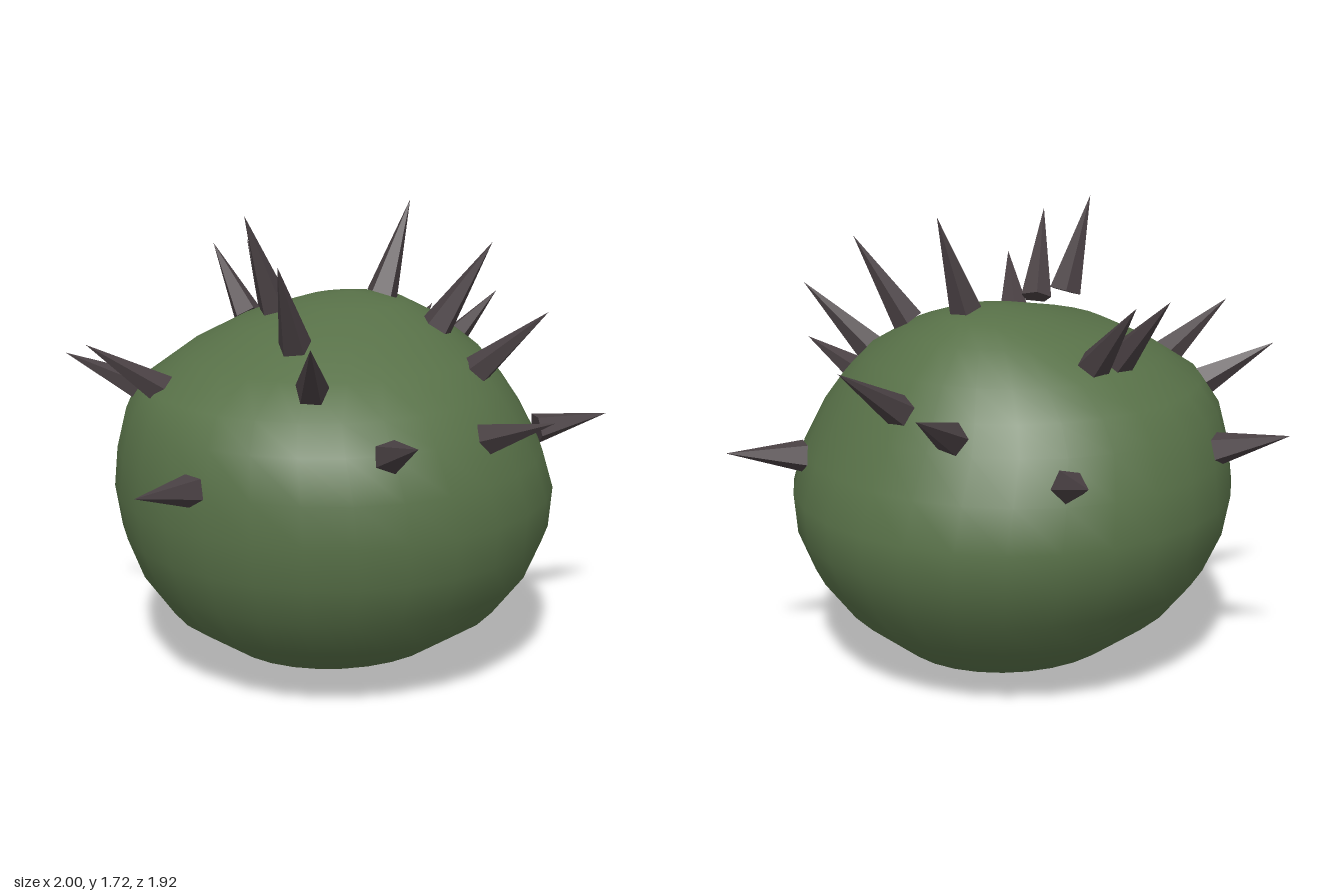
import * as THREE from 'three';
import { mergeVertices } from 'three/addons/utils/BufferGeometryUtils.js';

const green = new THREE.MeshStandardMaterial({ color: 0x587148 });
green.name = 'mossGreen';
const dark = new THREE.MeshStandardMaterial({ color: 0x4a4144, flatShading: true });
dark.name = 'spikeGrey';

// Body rings: height, then extents to -x, +x, -z, +z
const RINGS = [
  [0.005, 0, 0, 0, 0],
  [0.03, -0.2, 0.21, -0.2, 0.18],
  [0.1, -0.4, 0.44, -0.4, 0.37],
  [0.25, -0.62, 0.63, -0.6, 0.6],
  [0.4, -0.725, 0.745, -0.725, 0.715],
  [0.55, -0.78, 0.805, -0.8, 0.78],
  [0.7, -0.8, 0.82, -0.83, 0.795],
  [0.85, -0.79, 0.765, -0.8, 0.78],
  [1.0, -0.755, 0.685, -0.745, 0.72],
  [1.1, -0.69, 0.625, -0.67, 0.635],
  [1.2, -0.53, 0.55, -0.57, 0.51],
  [1.3, -0.32, 0.43, -0.41, 0.31],
  [1.36, -0.07, 0.32, -0.26, 0.12],
  [1.39, 0.12, 0.12, -0.08, -0.08],
];

// Lopsided ball: each ring is an ellipse with its own centre
function bodyGeometry(sides = 28) {
  const pos = [], index = [];
  RINGS.forEach(([y, x0, x1, z0, z1], k) => {
    for (let i = 0; i < sides; i++) {
      const a = (i / sides) * Math.PI * 2;
      pos.push((x0 + x1) / 2 + Math.cos(a) * (x1 - x0) / 2, y,
        (z0 + z1) / 2 + Math.sin(a) * (z1 - z0) / 2);
      if (k === RINGS.length - 1) continue;
      const p = k * sides + i, q = k * sides + (i + 1) % sides;
      if (k < RINGS.length - 2) index.push(p, p + sides, q + sides);
      else index.push(p, p + sides, q);
      if (k > 0 && k < RINGS.length - 2) index.push(p, q + sides, q);
    }
  });
  let geo = new THREE.BufferGeometry();
  geo.setAttribute('position', new THREE.Float32BufferAttribute(pos, 3));
  geo.setIndex(index);
  geo = mergeVertices(geo);
  geo.computeVertexNormals();
  return geo;
}

// Spikes in pairs: base then tip, right side and left side
const SPIKES = [
  [[-0.74, 0.86, 0.29], [-1.0, 0.9, 0.39], [0.73, 0.86, 0.27], [1.0, 0.9, 0.35]],
  [[-0.63, 1.1, -0.13], [-0.9, 1.29, -0.18], [0.6, 1.1, -0.16], [0.88, 1.29, -0.21]],
  [[-0.59, 1.05, -0.37], [-0.84, 1.19, -0.5], [0.55, 1.05, -0.39], [0.8, 1.19, -0.54]],
  [[-0.37, 0.92, -0.71], [-0.49, 1.0, -0.94], [0.31, 0.92, -0.71], [0.43, 1.0, -0.96]],
  [[-0.08, 1.24, -0.5], [-0.1, 1.49, -0.74], [0.03, 1.24, -0.5], [0.05, 1.49, -0.74]],
  [[-0.24, 1.38, -0.01], [-0.365, 1.72, 0], [0.22, 1.38, -0.02], [0.34, 1.72, -0.02]],
  [[-0.31, 1.3, 0.25], [-0.45, 1.61, 0.38], [0.29, 1.3, 0.24], [0.44, 1.61, 0.36]],
  [[-0.36, 1.19, 0.45], [-0.49, 1.39, 0.66], [0.33, 1.16, 0.42], [0.49, 1.4, 0.63]],
  [[-0.21, 1.0, 0.7], [-0.27, 1.1, 0.96], [0.21, 0.99, 0.66], [0.29, 1.1, 0.94]],
];

// Five-sided cone from base to tip
function spike(base, tip, name) {
  const a = new THREE.Vector3(...base), b = new THREE.Vector3(...tip);
  const dir = b.clone().sub(a);
  const mesh = new THREE.Mesh(new THREE.ConeGeometry(0.06, dir.length(), 5), dark);
  mesh.position.copy(a).add(b).multiplyScalar(0.5);
  mesh.quaternion.setFromUnitVectors(new THREE.Vector3(0, 1, 0), dir.normalize());
  mesh.name = name;
  return mesh;
}

export function createModel() {
  const model = new THREE.Group();
  model.name = 'spikyBall';
  const body = new THREE.Mesh(bodyGeometry(), green);
  body.name = 'body';
  model.add(body);

  const spikes = new THREE.Group();
  spikes.name = 'spikes';
  SPIKES.forEach(([rb, rt, lb, lt], i) => {
    spikes.add(spike(rb, rt, `rightSpike${i + 1}`), spike(lb, lt, `leftSpike${i + 1}`));
  });
  model.add(spikes);
  return model;
}
